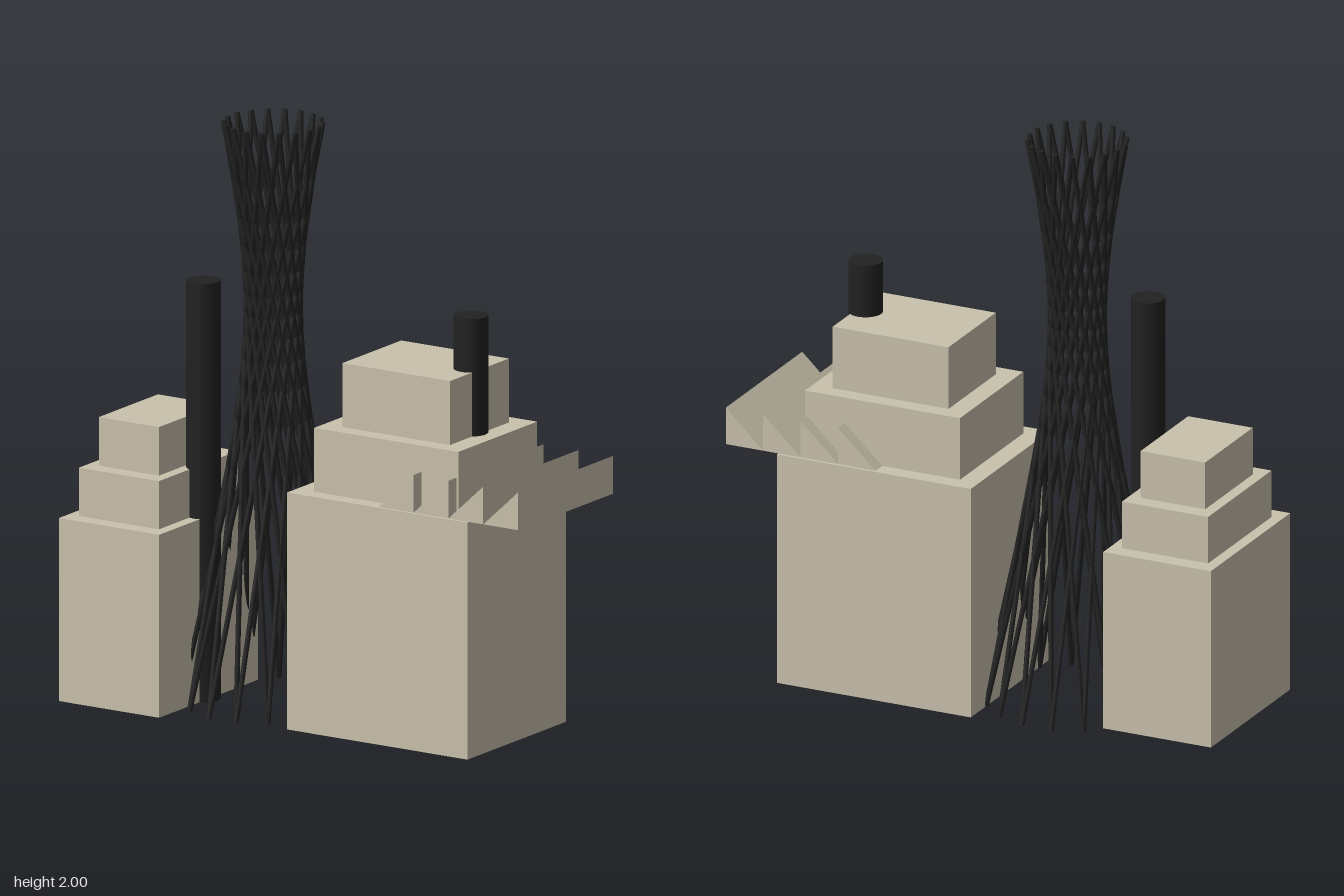
import * as THREE from 'three';

const stone = new THREE.MeshStandardMaterial({ color: 0xc9c1ad });
stone.name = 'stone';
const iron = new THREE.MeshStandardMaterial({ color: 0x212121 });
iron.name = 'black iron';

function add(parent, name, geometry, material, x = 0, y = 0, z = 0) {
  const mesh = new THREE.Mesh(geometry, material);
  mesh.name = name;
  mesh.position.set(x, y, z);
  parent.add(mesh);
  return mesh;
}

// Stepped block: each tier is [x0, x1, y0, y1, z0, z1]
function steppedBuilding(name, tiers) {
  const group = new THREE.Group();
  group.name = name;
  tiers.forEach(([x0, x1, y0, y1, z0, z1], i) => {
    add(group, `tier${i + 1}`, new THREE.BoxGeometry(x1 - x0, y1 - y0, z1 - z0), stone,
      (x0 + x1) / 2, (y0 + y1) / 2, (z0 + z1) / 2);
  });
  return group;
}

// Row of sawtooth roof wedges, each rising towards +x
function sawtoothRoof() {
  const group = new THREE.Group();
  group.name = 'sawtoothRoof';
  const pitch = 0.139, depth = 0.575;
  const profile = new THREE.Shape();
  profile.moveTo(0, 0);
  profile.lineTo(pitch, 0);
  profile.lineTo(pitch, 0.13);
  profile.closePath();
  const wedge = new THREE.ExtrudeGeometry(profile, { depth, bevelEnabled: false });
  for (let i = 0; i < 4; i++) add(group, 'roofTooth', wedge, stone, 0.319 + i * pitch, 0.816, -0.34);
  return group;
}

// Hyperboloid lattice tower: straight struts twisted both ways
function latticeTower() {
  const group = new THREE.Group();
  group.name = 'latticeTower';
  group.position.set(-0.28, 0, -0.035);
  const count = 18, baseRadius = 0.312, topRadius = 0.166;
  const twist = THREE.MathUtils.degToRad(130);
  const up = new THREE.Vector3(0, 1, 0);
  const ring = (r, a, y) => new THREE.Vector3(r * Math.sin(a), y, r * Math.cos(a));
  for (let i = 0; i < count; i++) {
    const angle = ((i + 0.5) / count) * Math.PI * 2;
    for (const side of [-1, 1]) {
      const foot = ring(baseRadius, angle, 0.002);
      const head = ring(topRadius, angle + side * twist, 1.998);
      const along = head.clone().sub(foot);
      const strut = add(group, 'strut', new THREE.CylinderGeometry(0.009, 0.009, along.length(), 8), iron);
      strut.position.copy(foot).add(head).multiplyScalar(0.5);
      strut.quaternion.setFromUnitVectors(up, along.normalize());
    }
  }
  return group;
}

export function createModel() {
  const model = new THREE.Group();
  model.name = 'powerStation';

  model.add(steppedBuilding('largeBuilding', [
    [-0.04, 0.68, 0, 0.816, -0.35, 0.245],
    [0.03, 0.605, 0.816, 1.036, -0.29, 0.187],
    [0.102, 0.532, 1.036, 1.256, -0.23, 0.126],
  ]));
  model.add(steppedBuilding('smallBuilding', [
    [-0.88, -0.48, 0, 0.63, -0.245, 0.352],
    [-0.84, -0.52, 0.63, 0.796, -0.185, 0.292],
    [-0.8, -0.56, 0.796, 0.963, -0.126, 0.232],
  ]));
  model.add(sawtoothRoof());
  model.add(latticeTower());

  // Chimneys run from the ground up through the buildings
  const chimney = new THREE.CylinderGeometry(0.058, 0.058, 1.44, 32);
  add(model, 'leftChimney', chimney, iron, 0.497, 0.72, -0.053);
  add(model, 'rightChimney', chimney, iron, -0.5, 0.72, 0.053);

  return model;
}
